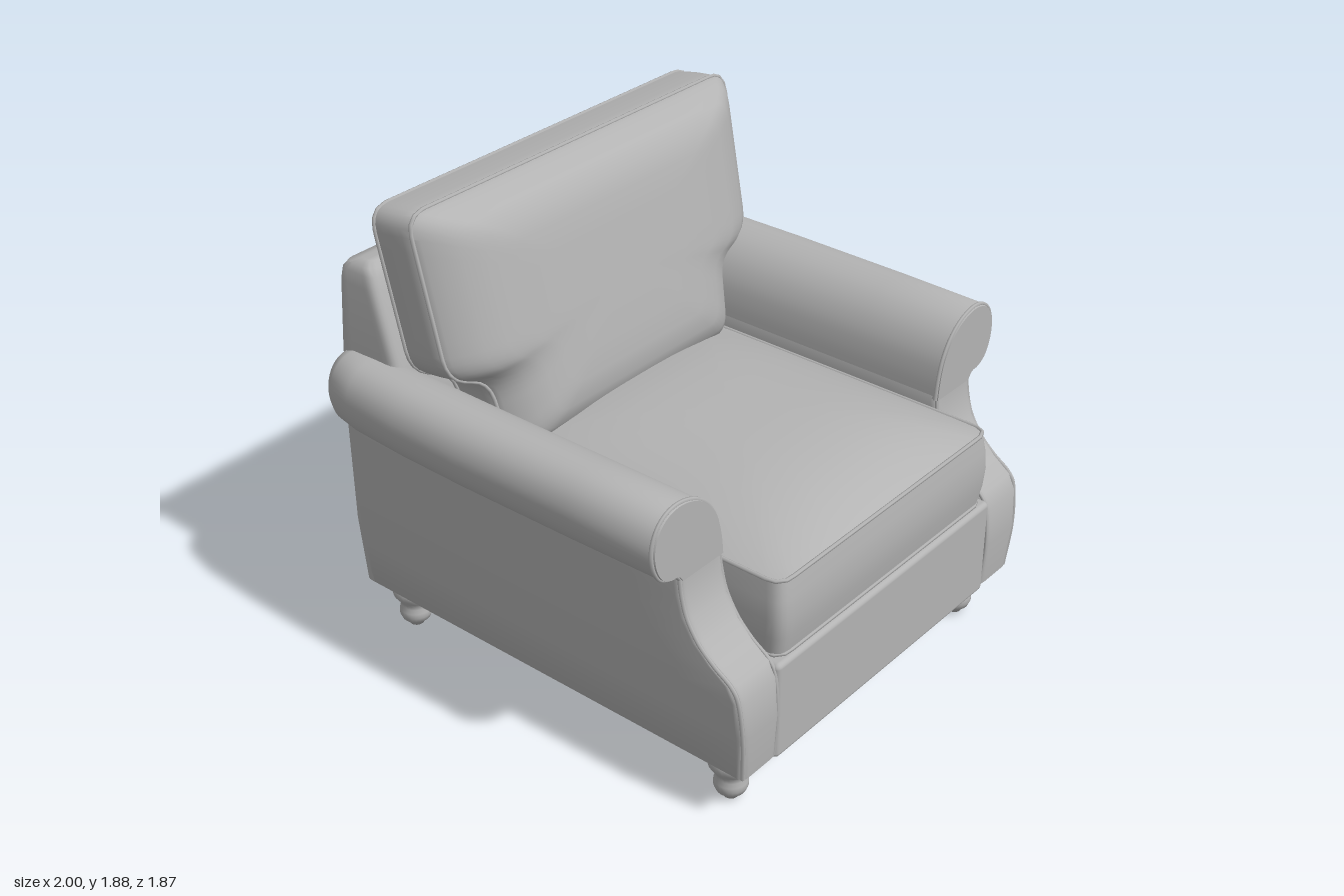
import * as THREE from 'three';
import { toCreasedNormals } from 'three/addons/utils/BufferGeometryUtils.js';
import { RoundedBoxGeometry } from 'three/addons/geometries/RoundedBoxGeometry.js';

const V = (x, y, z) => new THREE.Vector3(x, y, z);

// Polygon with rounded corners and subdivided edges, as a list of [u, v]
function roundPoly(corners, r, n = 5, fill = 8) {
  const arcs = corners.map((c, i) => {
    const p = new THREE.Vector2(...c);
    const toward = (q) => {
      const d = new THREE.Vector2(...q).sub(p);
      return p.clone().add(d.setLength(Math.min(r, d.length() * 0.45)));
    };
    const prev = corners[(i + corners.length - 1) % corners.length];
    const next = corners[(i + 1) % corners.length];
    return new THREE.QuadraticBezierCurve(toward(prev), p, toward(next)).getPoints(n);
  });
  const out = [];
  arcs.forEach((arc, i) => {
    out.push(...arc);
    const next = arcs[(i + 1) % arcs.length][0];
    for (let k = 1; k < fill; k++) out.push(arc[n].clone().lerp(next, k / fill));
  });
  return out.map((p) => [p.x, p.y]);
}
const roundRect = (a, b, c, d, r) => roundPoly([[a, c], [b, c], [b, d], [a, d]], r);

// Closed, capped skin over rings of equal length, always facing outward
function loft(rings, crease = 0.7) {
  const n = rings[0].length, pts = rings.flat(), idx = [];
  for (let k = 0; k < rings.length - 1; k++) {
    for (let i = 0; i < n; i++) {
      const a = k * n + i, b = k * n + (i + 1) % n;
      idx.push(a, b, b + n, a, b + n, a + n);
    }
  }
  [0, rings.length - 1].forEach((k) => {
    const mid = rings[k].reduce((s, p) => s.add(p), V(0, 0, 0)).divideScalar(n);
    const c = pts.push(mid) - 1;
    for (let i = 0; i < n; i++) {
      const a = k * n + i, b = k * n + (i + 1) % n;
      idx.push(...(k ? [c, a, b] : [c, b, a]));
    }
  });
  let volume = 0;
  for (let i = 0; i < idx.length; i += 3) {
    volume += pts[idx[i]].dot(V(0, 0, 0).crossVectors(pts[idx[i + 1]], pts[idx[i + 2]]));
  }
  if (volume < 0) idx.reverse();
  const g = new THREE.BufferGeometry().setFromPoints(pts);
  g.setIndex(idx);
  return toCreasedNormals(g, crease);
}

export function createModel() {
  const model = new THREE.Group();
  model.name = 'armchair';
  const fabric = new THREE.MeshStandardMaterial({ color: 0xb3b3b3 });
  fabric.name = 'grey fabric';

  const add = (name, geometry, x = 0, y = 0, z = 0) => {
    const mesh = new THREE.Mesh(geometry, fabric);
    mesh.name = name;
    mesh.position.set(x, y, z);
    model.add(mesh);
  };
  const piping = (name, pts, closed) => add(name, new THREE.TubeGeometry(
    new THREE.CatmullRomCurve3(pts, closed, 'catmullrom', closed ? 0.05 : 0.5), 140, 0.008, 6, closed));

  // Puffy cushion: domes on both sides of a boxing strip, with piped edges
  function cushion(name, outline, [cu, cv], thick, domeFront, domeBack, bulge, place) {
    const ring = (s, height) => outline.map(([pu, pv]) => {
      const u = cu + (pu - cu) * s, v = cv + (pv - cv) * s;
      return place(u, v, height(s, u, v));
    });
    const steps = [0.02, 0.2, 0.4, 0.6, 0.75, 0.86, 0.94, 0.98, 1];
    const rings = steps.map((s) => ring(s, (...p) => -domeBack(...p)));
    [0.25, 0.5, 0.75].forEach((t) =>
      rings.push(ring(1 + bulge * Math.sin(Math.PI * t), () => thick * t)));
    [...steps].reverse().forEach((s) => rings.push(ring(s, (...p) => thick + domeFront(...p))));
    add(name, loft(rings, 0.6));
    piping(name + 'FrontPiping', ring(1, () => thick), true);
    piping(name + 'BackPiping', ring(1, () => 0), true);
  }

  // Seat base and front rail
  add('seatBase', new THREE.BoxGeometry(1.3, 0.385, 1.56), 0, 0.4075, 0.02);
  add('frontRail', new RoundedBoxGeometry(1.29, 0.4, 0.14, 3, 0.02), 0, 0.395, 0.855);

  // Back frame: [y, half width, front z, back z]
  const backRows = [
    [0.195, 0.79, -0.7, -0.9], [0.215, 0.82, -0.68, -0.925], [0.5, 0.84, -0.64, -0.932],
    [1.0, 0.84, -0.62, -0.935], [1.25, 0.825, -0.65, -0.935], [1.5, 0.812, -0.735, -0.928],
    [1.545, 0.805, -0.75, -0.922], [1.572, 0.795, -0.765, -0.9], [1.59, 0.77, -0.785, -0.85],
  ];
  add('backFrame', loft(backRows.map(([y, w, f, b]) =>
    roundRect(-w, w, b, f, 0.04).map(([x, z]) => V(x, y, z)))));

  // Arm sides: [y, inner x, outer x, front z]
  const armRows = [
    [0.195, 0.65, 0.8, 0.9], [0.215, 0.635, 0.82, 0.92], [0.4, 0.635, 0.838, 0.932],
    [0.55, 0.635, 0.848, 0.92], [0.61, 0.635, 0.85, 0.89], [0.66, 0.635, 0.851, 0.82],
    [0.72, 0.632, 0.852, 0.755], [0.8, 0.63, 0.852, 0.705], [0.88, 0.63, 0.852, 0.682],
    [0.95, 0.632, 0.852, 0.673], [0.985, 0.65, 0.85, 0.673],
  ];
  // Scroll section of the arm top, from the inner face over to the underside of the roll
  const scroll = new THREE.SplineCurve([
    [0.632, 0.94], [0.642, 1.02], [0.665, 1.1], [0.71, 1.17], [0.775, 1.22], [0.855, 1.243],
    [0.925, 1.232], [0.975, 1.19], [0.998, 1.125], [0.99, 1.055], [0.96, 1.0], [0.915, 0.974],
    [0.875, 0.968], [0.85, 0.94],
  ].map((p) => new THREE.Vector2(...p))).getPoints(52);
  // Scroll along the arm: [z, width scale, height scale]
  const scrollRows = [
    [-0.915, 0.72, 0.88], [-0.9, 0.8, 0.93], [-0.86, 0.87, 0.97], [-0.75, 0.94, 0.99],
    [-0.5, 0.985, 1], [-0.2, 1, 1], [0.3, 0.985, 1], [0.66, 0.96, 0.995], [0.676, 0.94, 0.975],
  ];
  const scrollRing = (side, [z, sx, sy]) => scroll.map((p) =>
    V(side * (0.632 + (p.x - 0.632) * sx), 0.94 + (p.y - 0.94) * sy, z));

  for (const side of [1, -1]) {
    const label = side > 0 ? 'left' : 'right';
    add(label + 'ArmSide', loft(armRows.map(([y, a, b, f]) =>
      roundRect(a, b, -0.9, f, 0.03).map(([x, z]) => V(side * x, y, z)))));
    add(label + 'ArmScroll', loft(scrollRows.map((row) => scrollRing(side, row))));
    // Piping along the front edges and around the scroll
    piping(label + 'ArmOuterPiping',
      armRows.slice(1, 10).map(([y, , b, f]) => V(side * (b - 0.009), y, f - 0.009)), false);
    piping(label + 'ArmInnerPiping',
      armRows.slice(1, 10).map(([y, a, , f]) => V(side * (a + 0.009), y, f - 0.009)), false);
    piping(label + 'ScrollPiping', scrollRing(side, [0.664, 0.955, 0.99]), false);
  }

  // Seat cushion
  cushion('seatCushion', roundRect(-0.62, 0.62, -0.905, 0.5, 0.06), [0, -0.2], 0.3,
    (s, u, v) => 0.118 * (1 - Math.abs(u / 0.62) ** 2.8) * (1 - Math.abs((v + 0.2025) / 0.7025) ** 4),
    () => 0, 0.025, (u, v, w) => V(u, 0.605 + w, -v));

  // Back cushion: T-shaped, leaning back over the arms
  const half = [[0.6, 0.9], [0.635, 1.2], [0.815, 1.275], [0.835, 1.87]];
  const tee = [...half, ...half.map(([x, y]) => [-x, y]).reverse()];
  cushion('backCushion', roundPoly(tee, 0.08), [0, 1.4], 0.18,
    (s) => 0.138 * (1 - s ** 8), (s) => 0.09 * (1 - s ** 4), 0.006,
    (u, v, w) => V(u, v + 0.16 * (w - 0.18), -0.57 - 0.21 * (v - 1.26) + w));

  // Turned feet
  const foot = [[0, 0], [0.028, 0.003], [0.036, 0.02], [0.054, 0.033], [0.063, 0.055], [0.062, 0.075],
    [0.056, 0.092], [0.058, 0.108], [0.066, 0.122], [0.082, 0.145], [0.086, 0.17], [0.078, 0.19],
    [0.07, 0.2], [0.07, 0.25]].map(([r, y]) => new THREE.Vector2(r, y));
  for (const x of [0.7, -0.7]) {
    for (const z of [0.775, -0.785]) {
      add((z > 0 ? 'front' : 'back') + (x > 0 ? 'Left' : 'Right') + 'Foot',
        new THREE.LatheGeometry(foot, 24), x, 0, z);
    }
  }
  return model;
}
